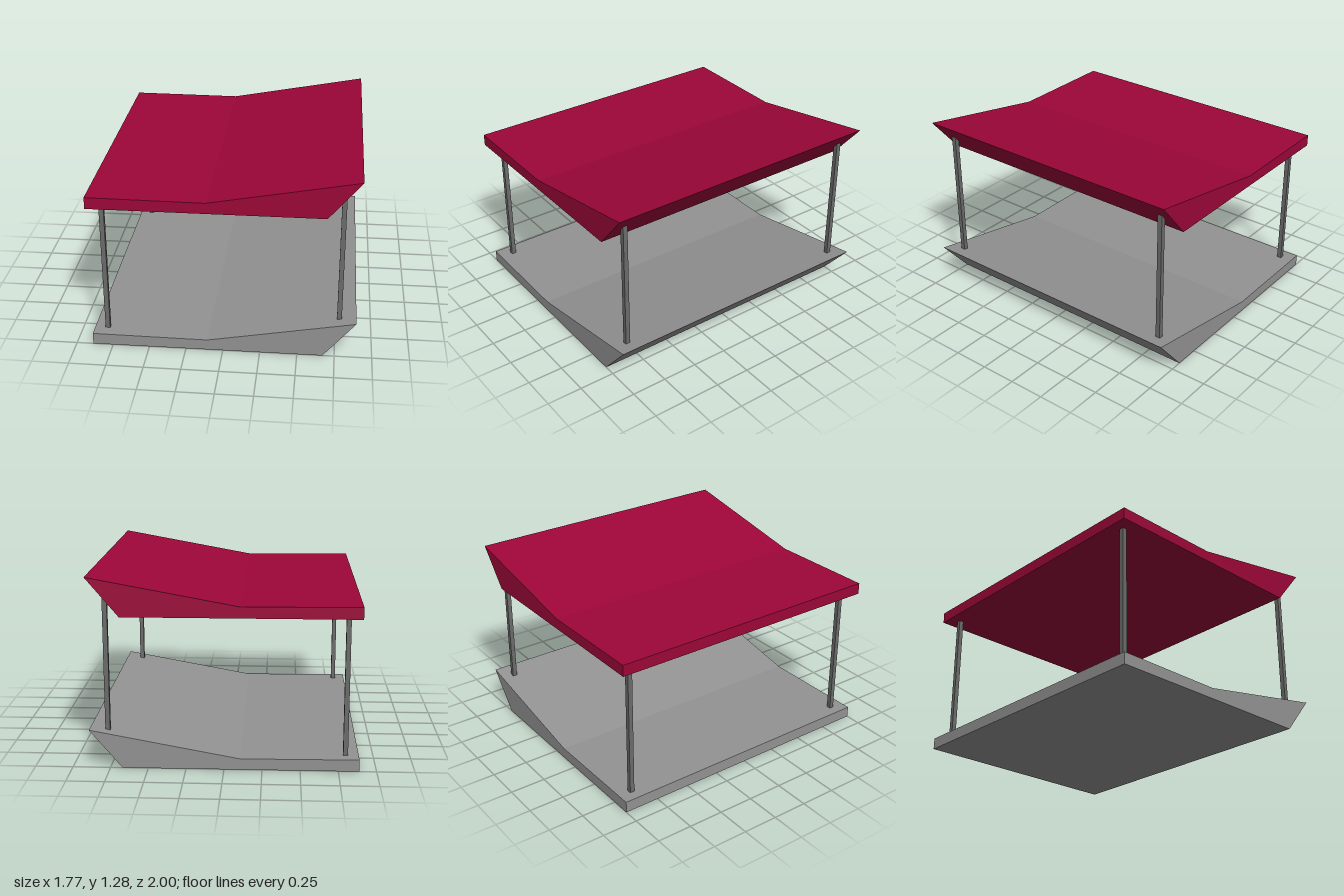
import * as THREE from 'three';

const DEPTH = 2;
const ROOF_Y = 1.02;
const POST_WIDTH = 0.032;

// Side profile shared by the base and the roof: flat, then swept up to a point
const PROFILE = [[-0.887, 0], [0.67, 0], [0.887, 0.257], [-0.105, 0.075], [-0.887, 0.08]];

function slab(name, y, material) {
  const shape = new THREE.Shape(PROFILE.map(([x, h]) => new THREE.Vector2(x, h)));
  const geometry = new THREE.ExtrudeGeometry(shape, { depth: DEPTH, bevelEnabled: false });
  geometry.translate(0, y, -DEPTH / 2);
  const mesh = new THREE.Mesh(geometry, material);
  mesh.name = name;
  return mesh;
}

function post(name, x, z, bottom, top, material) {
  const geometry = new THREE.BoxGeometry(POST_WIDTH, top - bottom, POST_WIDTH);
  const mesh = new THREE.Mesh(geometry, material);
  mesh.position.set(x, (bottom + top) / 2, z);
  mesh.name = name;
  return mesh;
}

export function createModel() {
  const grey = new THREE.MeshStandardMaterial({ color: 0x939393 });
  const darkGrey = new THREE.MeshStandardMaterial({ color: 0x6c6c6c });
  const red = new THREE.MeshStandardMaterial({ color: 0x9d0639 });

  const model = new THREE.Group();
  model.name = 'canopyPlatform';
  model.add(slab('base', 0, grey), slab('roof', ROOF_Y, red));

  // Four square corner posts, the ends sunk into the slabs
  for (const [end, z] of [['Front', 0.897], ['Back', -0.903]]) {
    model.add(post('right' + end + 'Post', -0.8, z, 0.05, 1.05, darkGrey));
    model.add(post('left' + end + 'Post', 0.775, z, 0.2, 1.19, darkGrey));
  }
  return model;
}
